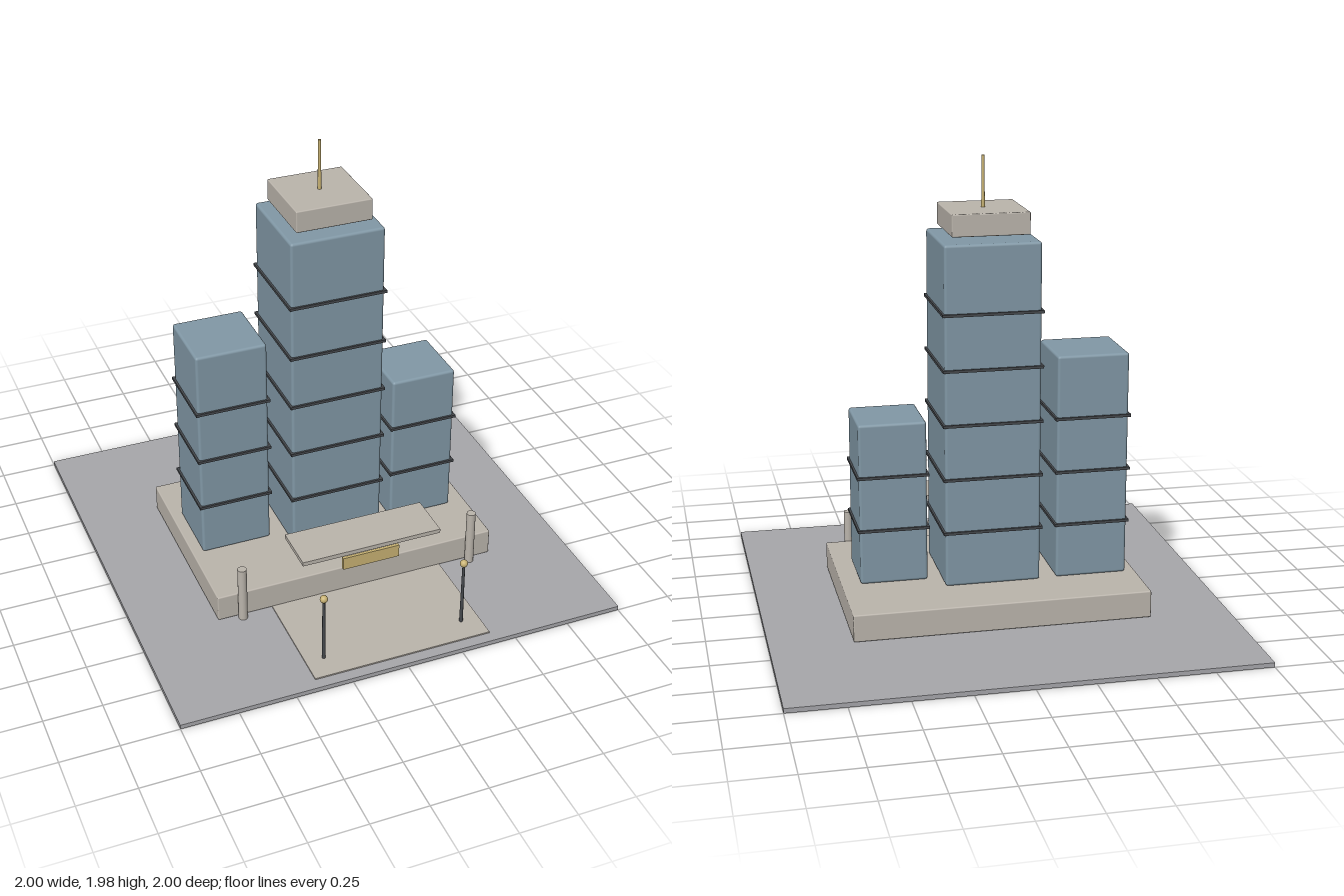
import * as THREE from 'three';
import { RoundedBoxGeometry } from 'three/addons/geometries/RoundedBoxGeometry.js';

const mat = (color) => new THREE.MeshStandardMaterial({ color });

export function createModel() {
  const model = new THREE.Group();
  const stone = mat(0xbbb5ac), glass = mat(0x8198a6), dark = mat(0x45484c);
  const gold = mat(0xc8b273), paving = mat(0xa7a7ab);

  const add = (name, geometry, material, x, y, z, parent = model) => {
    const mesh = new THREE.Mesh(geometry, material);
    mesh.name = name;
    mesh.position.set(x, y, z);
    parent.add(mesh);
    return mesh;
  };
  // Box given by its centre in plan and its bottom and top heights
  const block = (name, material, x, z, w, d, y0, y1, bevel = 0, parent = model) => {
    const h = y1 - y0;
    const geo = bevel ? new RoundedBoxGeometry(w, h, d, 2, bevel) : new THREE.BoxGeometry(w, h, d);
    return add(name, geo, material, x, (y0 + y1) / 2, z, parent);
  };
  const post = (name, material, x, z, r0, r1, y0, y1, sides, parent = model) =>
    add(name, new THREE.CylinderGeometry(r1, r0, y1 - y0, sides), material, x, (y0 + y1) / 2, z, parent);

  // Ground, entrance path and podium
  block('ground', paving, 0, 0, 2, 2, 0, 0.02);
  block('entrancePath', stone, 0, 0.69, 0.8, 0.52, 0.02, 0.026);
  block('podium', stone, 0, 0, 1.294, 0.89, 0.022, 0.142, 0.006);

  // Towers with evenly spaced floor bands
  const tower = (name, x, z, size, top, bands) => {
    const group = new THREE.Group();
    group.name = name;
    block('glassBody', glass, x, z, size, size, 0.142, top, 0.012, group);
    for (let i = 0; i < bands; i++) {
      const y = 0.385 + i * 0.24;
      block('floorBand', dark, x, z, size + 0.018, size + 0.018, y - 0.006, y + 0.006, 0, group);
    }
    model.add(group);
  };
  tower('mainTower', 0, 0, 0.418, 1.642, 5);
  tower('rightTower', -0.442, -0.042, 0.316, 1.142, 3);
  tower('leftTower', 0.418, 0.04, 0.296, 0.862, 2);

  // Rooftop crown and mast
  block('crown', stone, 0, 0, 0.336, 0.336, 1.666, 1.762, 0.005);
  post('mast', gold, 0, 0, 0.008, 0.006, 1.76, 1.982, 12);

  // Entrance canopy and blank sign panel
  block('canopy', stone, 0, 0.5, 0.636, 0.212, 0.335, 0.354);
  block('signPanel', gold, 0, 0.589, 0.26, 0.014, 0.256, 0.314);

  // Entrance columns and lamps, mirrored
  for (const side of [-1, 1]) {
    post('column', stone, side * 0.54, 0.462, 0.02, 0.02, 0.02, 0.281, 16);
    const lamp = new THREE.Group();
    lamp.name = 'lamp';
    post('lampPost', dark, side * 0.318, 0.84, 0.008, 0.006, 0.02, 0.335, 10, lamp);
    add('lampGlobe', new THREE.SphereGeometry(0.017, 16, 12), gold, side * 0.318, 0.336, 0.84, lamp);
    model.add(lamp);
  }
  return model;
}
